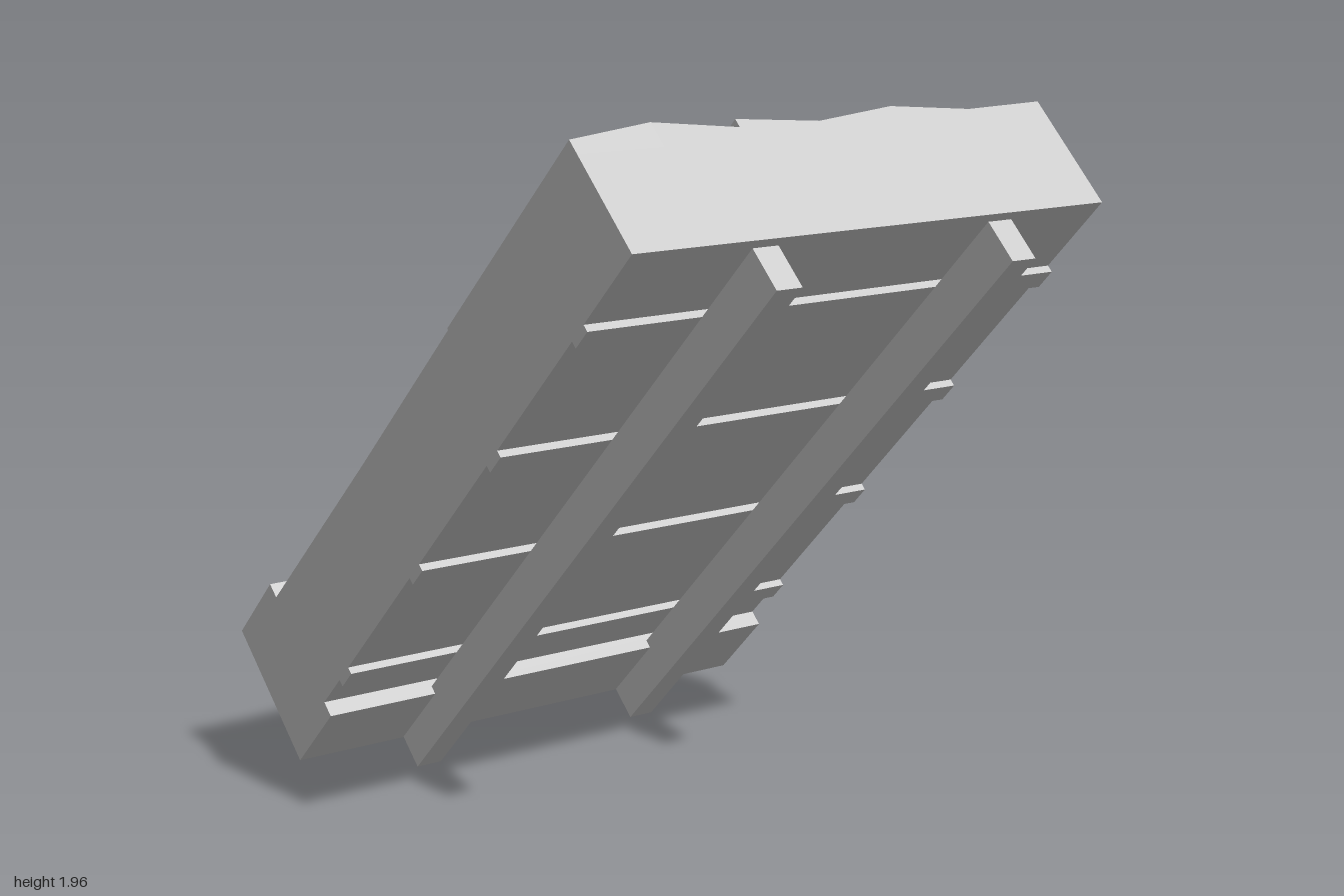
import * as THREE from 'three';

const material = new THREE.MeshStandardMaterial({ color: 0xcccccc, flatShading: true });

// Box between limits in the roof's own frame: x across, y outward, z up the slope
function block(name, x0, x1, y0, y1, z0, z1) {
  const geometry = new THREE.BoxGeometry(x1 - x0, y1 - y0, z1 - z0);
  geometry.translate((x0 + x1) / 2, (y0 + y1) / 2, (z0 + z1) / 2);
  const mesh = new THREE.Mesh(geometry, material);
  mesh.name = name;
  return mesh;
}

const HALF = 0.77;      // half width of the roof
const UNDER = 0.562;    // underside of the deck
const DECK = 0.86;      // top of the deck, where tiles start
const EAVE = -0.417;
const RIDGE = 1.828;

// Courses from ridge to eave; each tile lists its corner heights:
// [low end -x, low end +x, high end -x, high end +x]
const COURSES = [
  { z0: 1.09, z1: RIDGE, tiles: [
    [0.91, 0.915, 0.904, 0.937], [0.91, 0.925, 0.937, 0.901], [0.905, 0.93, 0.927, 0.901],
    [0.92, 0.91, 0.901, 0.93], [0.935, 0.93, 0.93, 0.901], [0.905, 0.915, 0.901, 0.908]] },
  { z0: 0.368, z1: 1.217, tiles: [
    [0.905, 0.93, 0.905, 0.935], [0.91, 0.91, 0.935, 0.9], [0.9, 0.93, 0.93, 0.9],
    [0.915, 0.905, 0.9, 0.932], [0.935, 0.935, 0.9, 0.9], [0.93, 0.905, 0.93, 0.91]] },
  { z0: -0.35, z1: 0.496, tiles: [
    [0.915, 0.915, 0.905, 0.905], [0.925, 0.9, 0.925, 0.93], [0.915, 0.91, 0.93, 0.895],
    [0.937, 0.925, 0.945, 0.905], [0.92, 0.91, 0.9, 0.9], [0.915, 0.915, 0.905, 0.905]] },
  { z0: EAVE, z1: -0.173, tiles: [
    [0.955, 0.957, 0.958, 0.96], [0.955, 0.957, 0.98, 1.0], [0.96, 0.969, 0.998, 0.958],
    [0.941, 0.941, 0.952, 0.955], [0.941, 0.95, 0.944, 0.972], [0.997, 0.955, 0.958, 0.958]] },
];

// Tile whose four upper corners are set one by one
function tile(x0, x1, z0, z1, heights) {
  const mesh = block('roofTile', x0, x1, DECK, DECK + 0.05, z0, z1);
  const p = mesh.geometry.attributes.position;
  for (let i = 0; i < p.count; i++) {
    if (p.getY(i) < DECK + 0.025) continue;
    const right = p.getX(i) > (x0 + x1) / 2 ? 1 : 0;
    const high = p.getZ(i) > (z0 + z1) / 2 ? 2 : 0;
    p.setY(i, heights[right + high]);
  }
  mesh.geometry.computeVertexNormals();
  return mesh;
}

export function createModel() {
  const model = new THREE.Group();
  model.name = 'roofSection';
  const slope = new THREE.Group();
  slope.name = 'slopedRoof';
  slope.rotation.x = -Math.PI / 4;
  model.add(slope);

  // Solid deck
  slope.add(block('roofDeck', -HALF, HALF, UNDER, DECK, EAVE, RIDGE));

  // Uneven tile courses
  const width = (2 * HALF) / 6;
  for (const { z0, z1, tiles } of COURSES) {
    const course = new THREE.Group();
    course.name = 'tileCourse';
    tiles.forEach((heights, i) => {
      const x = -HALF + i * width;
      course.add(tile(x, x + width, z0, z1, heights));
    });
    slope.add(course);
  }

  // Battens between rafters and deck
  for (let i = 0; i < 4; i++) {
    const z = -0.053 + i * 0.516;
    slope.add(block('batten', -HALF, HALF, 0.541, UNDER, z, z + 0.066));
  }
  slope.add(block('eaveBoard', -HALF, HALF, 0.516, UNDER, EAVE, -0.172));

  // Pair of rafters
  for (const x of [-0.385, 0.385]) {
    slope.add(block('rafter', x - 0.04, x + 0.04, 0.414, 0.541, -0.414, RIDGE));
  }
  return model;
}
